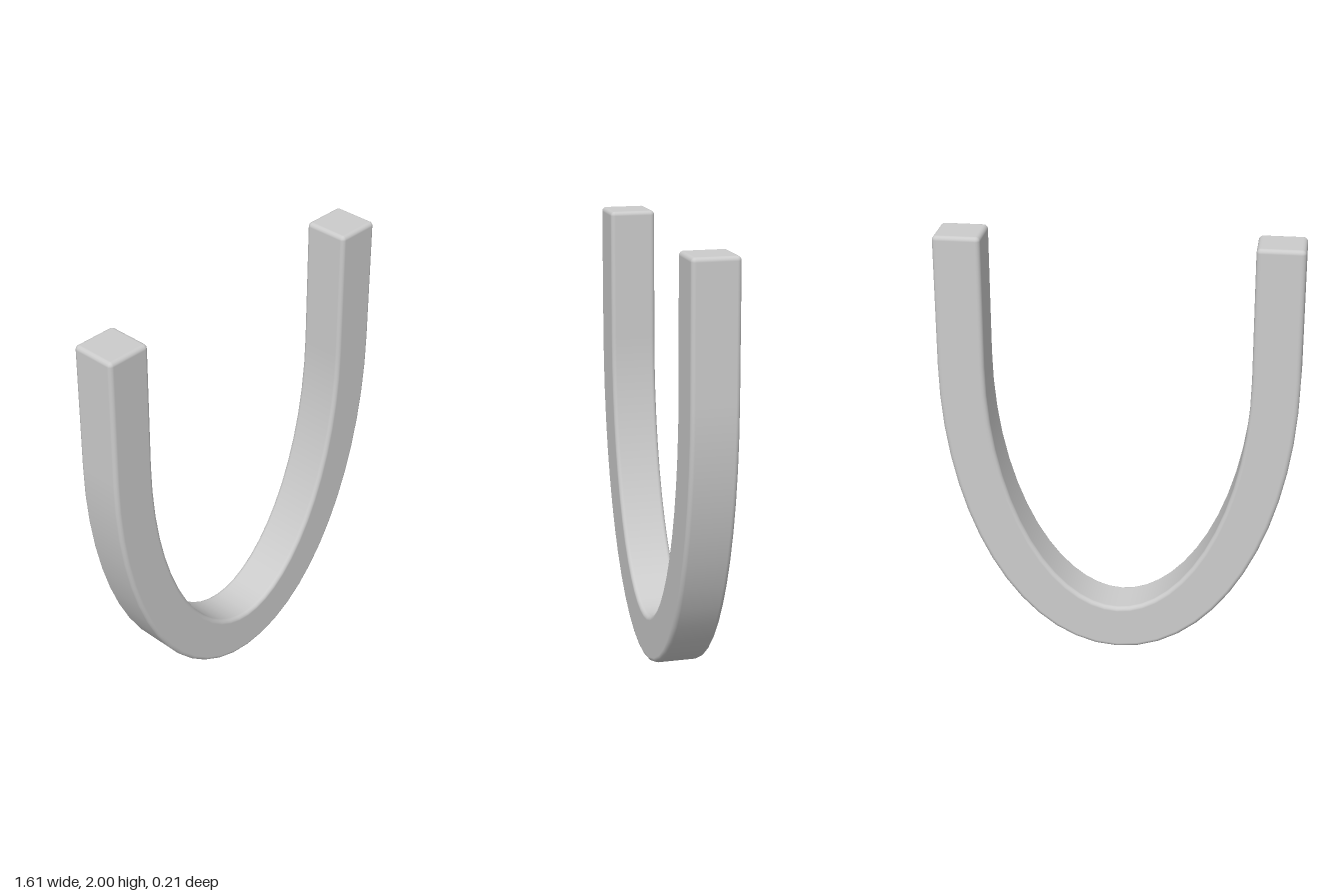
import * as THREE from 'three';

const HALF = 0.106;   // half the bar thickness
const ROUND = 0.02;   // edge rounding
const LEG_X = 0.7, BEND_Y = 1.4, BEND_H = 1.29, TOP = 2;
const BEND_STEPS = 28, ROUND_STEPS = 4;

// Centre line from the top of the -x leg, round the bend, to the top of the +x leg.
// tilt runs from -90 to 90 degrees and rounds off the two ends.
function makeStations() {
  const stations = [];
  const up = new THREE.Vector3(0, 1, 0), down = new THREE.Vector3(0, -1, 0);
  for (let i = 0; i <= ROUND_STEPS; i++) {
    const tilt = (i / ROUND_STEPS - 1) * Math.PI / 2;
    stations.push({ p: new THREE.Vector3(-LEG_X, TOP - ROUND, 0), t: down, tilt });
  }
  for (let i = 0; i <= BEND_STEPS; i++) {
    const a = (i / BEND_STEPS - 0.5) * Math.PI;
    stations.push({
      p: new THREE.Vector3(LEG_X * Math.sin(a), BEND_Y - BEND_H * Math.cos(a), 0),
      t: new THREE.Vector3(LEG_X * Math.cos(a), BEND_H * Math.sin(a), 0).normalize(),
      tilt: 0
    });
  }
  for (let i = 0; i <= ROUND_STEPS; i++) {
    const tilt = i / ROUND_STEPS * Math.PI / 2;
    stations.push({ p: new THREE.Vector3(LEG_X, TOP - ROUND, 0), t: up, tilt });
  }
  return stations;
}

// Rounded square section: corner centre plus outward direction
function makeSection() {
  const section = [], c = HALF - ROUND;
  for (let k = 0; k < 4; k++) {
    const mid = (k + 0.5) * Math.PI / 2;
    for (let i = 0; i <= ROUND_STEPS; i++) {
      const a = (k + i / ROUND_STEPS) * Math.PI / 2;
      section.push({
        u: c * Math.sign(Math.cos(mid)), v: c * Math.sign(Math.sin(mid)),
        nu: Math.cos(a), nv: Math.sin(a)
      });
    }
  }
  return section;
}

function sweepBar() {
  const stations = makeStations(), section = makeSection();
  const positions = [], normals = [], index = [];
  const n = section.length, last = stations.length - 1;

  for (const { p, t, tilt } of stations) {
    const side = new THREE.Vector3(-t.y, t.x, 0);
    for (const s of section) {
      const normal = side.clone().multiplyScalar(s.nu);
      normal.z = s.nv;
      normal.multiplyScalar(Math.cos(tilt)).addScaledVector(t, Math.sin(tilt));
      const point = p.clone().addScaledVector(side, s.u).addScaledVector(normal, ROUND);
      point.z += s.v;
      positions.push(...point.toArray());
      normals.push(...normal.toArray());
    }
  }
  for (let i = 0; i < last; i++) {
    for (let j = 0; j < n; j++) {
      const k = (j + 1) % n;
      const a = i * n + j, b = i * n + k, c = b + n, d = a + n;
      index.push(a, b, c, a, c, d);
    }
  }
  // Flat ends
  const startCentre = positions.length / 3, endCentre = startCentre + 1;
  positions.push(-LEG_X, TOP, 0, LEG_X, TOP, 0);
  normals.push(0, 1, 0, 0, 1, 0);
  for (let j = 0; j < n; j++) {
    const k = (j + 1) % n;
    index.push(startCentre, k, j, endCentre, last * n + j, last * n + k);
  }

  const geometry = new THREE.BufferGeometry();
  geometry.setAttribute('position', new THREE.Float32BufferAttribute(positions, 3));
  geometry.setAttribute('normal', new THREE.Float32BufferAttribute(normals, 3));
  geometry.setIndex(index);
  return geometry;
}

export function createModel() {
  const group = new THREE.Group();
  group.name = 'uShapedBar';
  const bar = new THREE.Mesh(sweepBar(), new THREE.MeshStandardMaterial({ color: 0xcccccc }));
  bar.name = 'bentBar';
  group.add(bar);
  return group;
}
